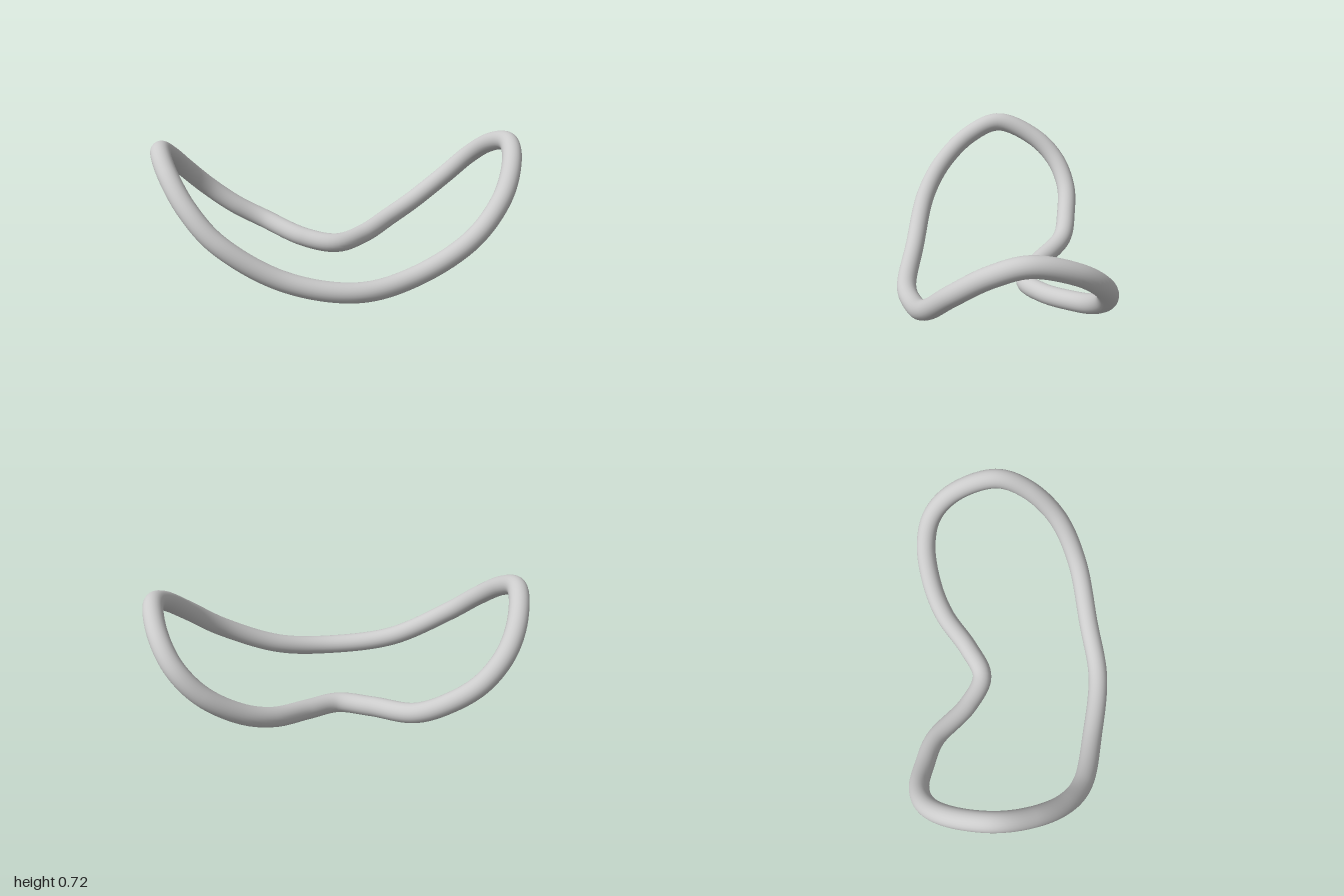
import * as THREE from 'three';

const RADIUS = 0.053;

// Height of the centre line: a circular arc, slightly steeper on the -x side
function arcHeight(x) {
  const r = x < 0 ? 1.04 : 1.063;
  return 0.055 + r - Math.sqrt(r * r - x * x);
}

export function createModel() {
  const group = new THREE.Group();
  group.name = 'bentRing';

  // Plan outline (x, z) of the closed loop, starting at the front middle
  const outline = [
    [0, 0.487], [0.3, 0.442], [0.62, 0.375], [0.81, 0.26], [0.912, 0.09],
    [0.945, -0.08], [0.905, -0.31], [0.825, -0.44], [0.7, -0.485],
    [0.51, -0.455], [0.35, -0.385], [0.165, -0.25],
    [0, -0.172], [-0.175, -0.25], [-0.385, -0.425], [-0.55, -0.473],
    [-0.7, -0.49], [-0.82, -0.44], [-0.9, -0.32],
    [-0.947, -0.1], [-0.915, 0.08], [-0.825, 0.25], [-0.685, 0.36], [-0.37, 0.437],
  ];
  const path = new THREE.CatmullRomCurve3(
    outline.map(([x, z]) => new THREE.Vector3(x, arcHeight(x), z)), true, 'centripetal');

  // Round tube swept along the loop
  const ring = new THREE.Mesh(
    new THREE.TubeGeometry(path, 240, RADIUS, 24, true),
    new THREE.MeshStandardMaterial({ color: 0xcccccc }));
  ring.name = 'ringTube';
  group.add(ring);
  return group;
}
